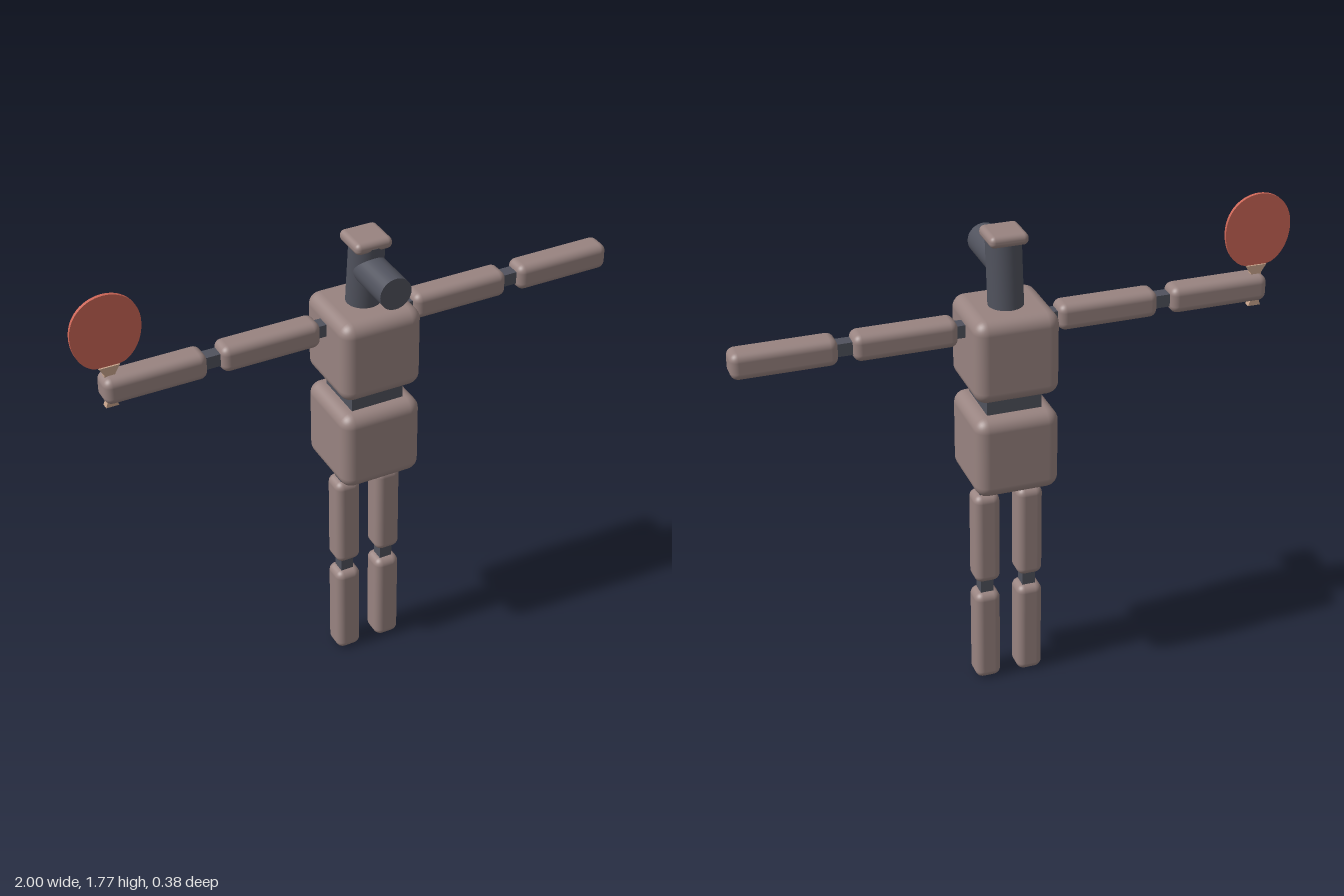
import * as THREE from 'three';
import { RoundedBoxGeometry } from 'three/addons/geometries/RoundedBoxGeometry.js';

const mat = (name, color) => {
  const m = new THREE.MeshStandardMaterial({ color });
  m.name = name;
  return m;
};

export function createModel() {
  const shell = mat('dusty brown shell', 0x988380);
  const joint = mat('slate joint', 0x50525d);
  const red = mat('paddle red', 0xcb6556);
  const wood = mat('handle wood', 0xc8a48c);

  const model = new THREE.Group();
  const cx = 0.043, cz = -0.037;

  const add = (name, geo, material, x, y, z) => {
    const mesh = new THREE.Mesh(geo, material);
    mesh.name = name;
    mesh.position.set(x, y, z);
    model.add(mesh);
    return mesh;
  };
  const padded = (name, w, h, d, r, x, y, z) =>
    add(name, new RoundedBoxGeometry(w, h, d, 4, r), shell, x, y, z);
  const bar = (name, w, h, d, x, y, z) =>
    add(name, new THREE.BoxGeometry(w, h, d), joint, x, y, z);

  // Body blocks and waist
  padded('chest', 0.302, 0.305, 0.302, 0.045, cx, 1.343, cz);
  padded('hips', 0.302, 0.303, 0.302, 0.045, cx, 0.977, cz);
  bar('waist', 0.197, 0.12, 0.195, cx, 1.16, cz + 0.003);

  // Neck leaning forward, with viewing tube and cap
  const neck = add('neck', new THREE.CylinderGeometry(0.062, 0.062, 0.29, 32), joint, cx, 1.595, -0.032);
  neck.rotation.x = 0.105;
  const tube = add('headTube', new THREE.CylinderGeometry(0.058, 0.058, 0.21, 32), joint, cx, 1.639, 0.082);
  tube.rotation.x = Math.PI / 2;
  padded('headCap', 0.137, 0.042, 0.137, 0.019, cx, 1.738, -0.025);

  for (const side of [-1, 1]) {
    const label = side > 0 ? 'left' : 'right';

    // Leg: two padded segments on a square rod
    const lx = cx + side * 0.08;
    padded(label + 'Thigh', 0.095, 0.36, 0.097, 0.028, lx, 0.596, cz);
    padded(label + 'Shin', 0.095, 0.366, 0.097, 0.028, lx, 0.183, cz);
    bar(label + 'LegRod', 0.048, 0.6, 0.048, lx, 0.57, cz);

    // Arm: two padded segments on a square rod
    const ax = (d) => cx + side * d;
    padded(label + 'UpperArm', 0.362, 0.096, 0.096, 0.028, ax(0.36), 1.425, -0.043);
    padded(label + 'Forearm', 0.362, 0.096, 0.096, 0.028, ax(0.773), 1.425, -0.043);
    bar(label + 'ArmRod', 0.55, 0.046, 0.046, ax(0.38), 1.425, -0.043);
  }

  // Paddle held in the right hand
  const px = -0.878, pz = -0.046;
  const face = new THREE.Shape();
  face.moveTo(-0.055, 1.51);
  face.bezierCurveTo(-0.095, 1.53, -0.122, 1.58, -0.122, 1.64);
  face.bezierCurveTo(-0.122, 1.72, -0.065, 1.77, 0, 1.77);
  face.bezierCurveTo(0.065, 1.77, 0.122, 1.72, 0.122, 1.64);
  face.bezierCurveTo(0.122, 1.58, 0.095, 1.53, 0.055, 1.51);
  face.quadraticCurveTo(0, 1.495, -0.055, 1.51);
  const blade = new THREE.ExtrudeGeometry(face, { depth: 0.012, bevelEnabled: false, curveSegments: 14 });
  add('paddleBlade', blade, red, px, 0, pz - 0.006);

  const grip = new THREE.Shape();
  [[-0.037, 1.506], [-0.019, 1.478], [-0.017, 1.37], [-0.023, 1.352],
    [0.023, 1.352], [0.017, 1.37], [0.019, 1.478], [0.037, 1.506]]
    .forEach(([x, y], i) => (i ? grip.lineTo(x, y) : grip.moveTo(x, y)));
  const handle = new THREE.ExtrudeGeometry(grip, { depth: 0.024, bevelEnabled: false });
  add('paddleHandle', handle, wood, px, 0, pz - 0.012);

  return model;
}
